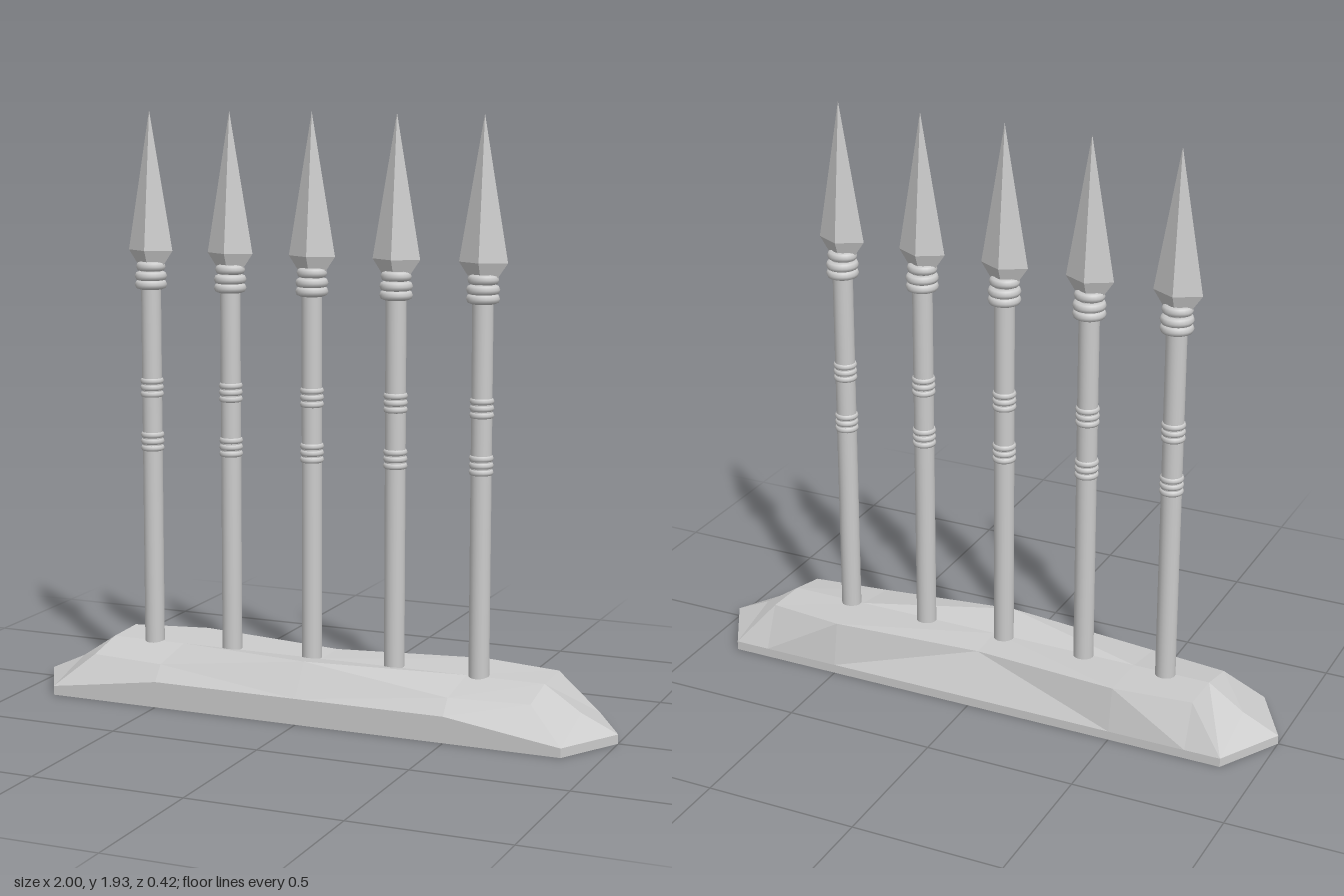
import * as THREE from 'three';

const smooth = new THREE.MeshStandardMaterial({ color: 0xcccccc });
const faceted = new THREE.MeshStandardMaterial({ color: 0xcccccc, flatShading: true });

function part(name, geometry, material, parent) {
  const mesh = new THREE.Mesh(geometry, material);
  mesh.name = name;
  parent.add(mesh);
  return mesh;
}

// Half of the rock's cross-sections: x, front lower y, front top [y, z], ridge y, back top [y, z]
const halfSections = [
  { x: 0, low: 0.085, front: [0.19, 0.14], ridge: 0.165, back: [0.165, -0.135], half: 0.21 },
  { x: 0.5, low: 0.085, front: [0.135, 0.17], ridge: 0.165, back: [0.175, -0.185], half: 0.21 },
  { x: 0.76, low: 0.047, front: [0.135, 0.14], ridge: 0.165, back: [0.17, -0.15], half: 0.21 },
  { x: 0.88, low: 0.03, front: [0.03, 0.21], ridge: 0.085, back: [0.03, -0.21], half: 0.21 },
  { x: 1, low: 0.03, front: [0.03, 0], ridge: 0.03, back: [0.03, 0], half: 0 },
];

function rockGeometry() {
  const mirrored = halfSections.slice(1).reverse().map((s) => ({ ...s, x: -s.x }));
  const rings = [...mirrored, ...halfSections].map((s) => [
    [0, s.half], [s.low, s.half], s.front, [s.ridge, 0], s.back, [0.03, -s.half], [0, -s.half],
  ].map(([y, z]) => new THREE.Vector3(s.x, y, z)));
  const positions = [];
  const triangle = (a, b, c) => {
    if (new THREE.Triangle(a, b, c).getArea() < 1e-6) return;
    for (const p of [a, b, c]) positions.push(p.x, p.y, p.z);
  };
  for (let i = 0; i < rings.length - 1; i++) {
    const n = rings[i].length;
    for (let j = 0; j < n; j++) {
      const k = (j + 1) % n;
      const [a, b, c, d] = [rings[i][j], rings[i + 1][j], rings[i + 1][k], rings[i][k]];
      // Mirror the diagonals about the middle
      if (a.x < 0) {
        triangle(a, b, d);
        triangle(b, c, d);
      } else {
        triangle(a, b, c);
        triangle(a, c, d);
      }
    }
  }
  const geometry = new THREE.BufferGeometry();
  geometry.setAttribute('position', new THREE.Float32BufferAttribute(positions, 3));
  geometry.computeVertexNormals();
  return geometry;
}

function ring(name, y, radius, tube, parent) {
  const mesh = part(name, new THREE.TorusGeometry(radius, tube, 8, 24), smooth, parent);
  mesh.rotation.x = Math.PI / 2;
  mesh.position.y = y;
  return mesh;
}

function createSpear() {
  const spear = new THREE.Group();
  spear.name = 'spear';

  const shaft = part('shaft', new THREE.CylinderGeometry(0.033, 0.033, 1.38, 20), smooth, spear);
  shaft.position.y = 0.74;

  // Diamond-section blade
  const profile = [[0, 1.41], [0.035, 1.41], [0.08, 1.475], [0, 1.93]].map(([r, y]) => new THREE.Vector2(r, y));
  const head = part('spearHead', new THREE.LatheGeometry(profile, 4), faceted, spear);
  head.scale.z = 0.57;

  // Thick binding under the blade
  for (const y of [1.363, 1.391]) ring('binding', y, 0.037, 0.016, spear);
  ring('topBinding', 1.422, 0.034, 0.016, spear).scale.y = 0.85;

  // Two grips of thin cord
  for (const start of [0.82, 1.0]) {
    for (let i = 0; i < 3; i++) ring('gripCord', start + i * 0.022, 0.028, 0.011, spear);
  }
  return spear;
}

export function createModel() {
  const model = new THREE.Group();
  model.name = 'spearRow';
  part('rockBase', rockGeometry(), faceted, model);
  for (let i = 0; i < 5; i++) {
    const spear = createSpear();
    spear.position.set(-0.613 + i * 0.288, 0, -0.01);
    model.add(spear);
  }
  return model;
}
